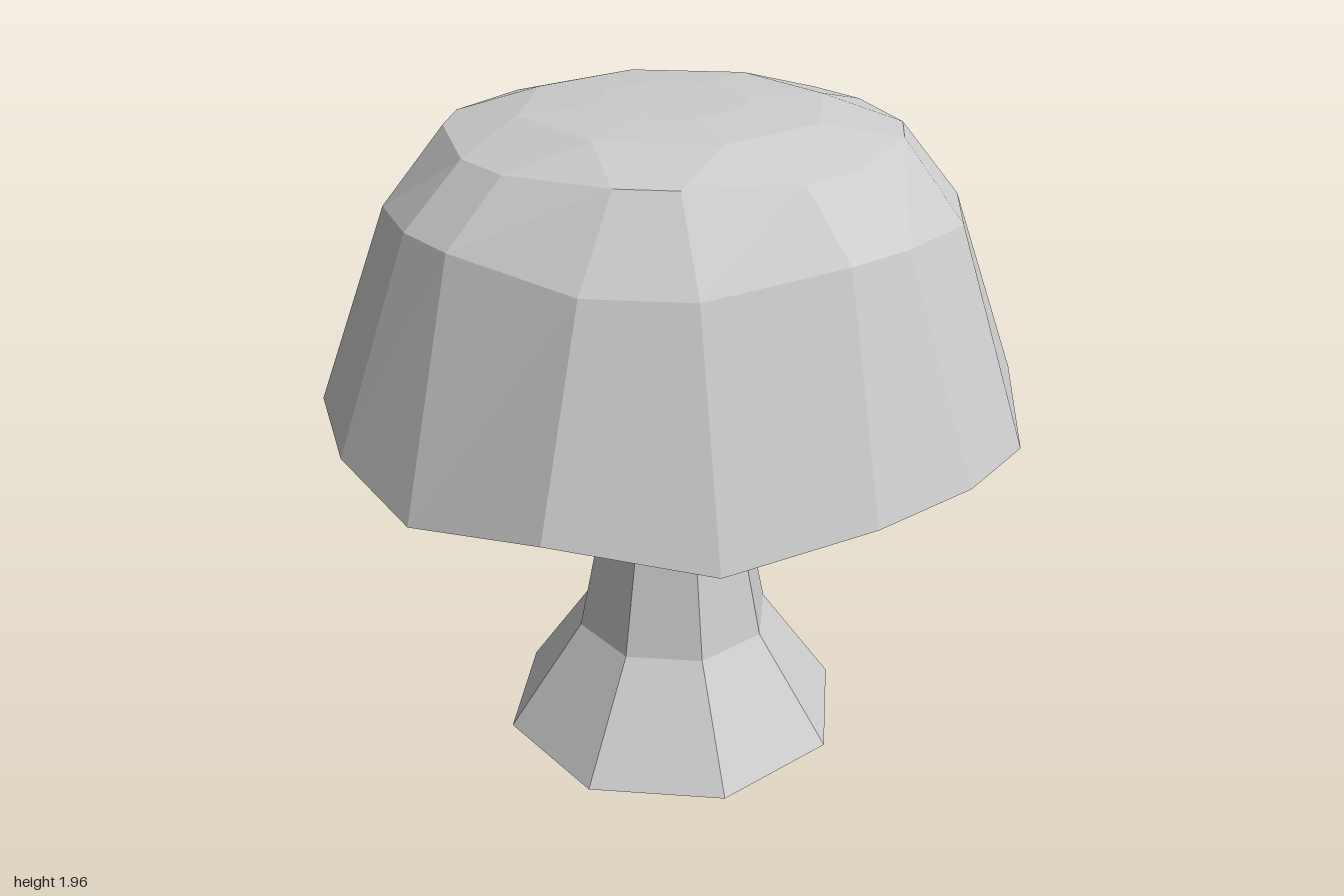
import * as THREE from 'three';

// Ring of 16 points: two angles per eighth turn, mirrored around the circle.
// a is the angle (degrees) of the point nearest an axis, b the one nearer the diagonal.
function ring(r, y, a, b, yb = y) {
  const pts = [];
  for (let q = 0; q < 4; q++) {
    const angles = [a, b, 90 - b, 90 - a];
    angles.forEach((deg, k) => {
      const t = THREE.MathUtils.degToRad(deg + q * 90);
      const h = k === 0 || k === 3 ? y : yb;
      pts.push(new THREE.Vector3(r * Math.cos(t), h, r * Math.sin(t)));
    });
  }
  return pts;
}

// Octagon with flats facing the axes, each corner doubled to pair with 16-point rings
const octagon = (r, y) => ring(r, y, 22.5, 22.5);

// Faceted skin through a list of rings, faces pointing outward
function loft(rings) {
  const pos = [];
  const tri = (a, b, c) => {
    const area = b.clone().sub(a).cross(c.clone().sub(a)).length();
    if (area > 1e-6) for (const p of [a, b, c]) pos.push(p.x, p.y, p.z);
  };
  for (let k = 0; k < rings.length - 1; k++) {
    const lo = rings[k], hi = rings[k + 1], n = lo.length;
    for (let i = 0; i < n; i++) {
      const j = (i + 1) % n;
      tri(lo[i], hi[i], lo[j]);
      tri(lo[j], hi[i], hi[j]);
    }
  }
  const geo = new THREE.BufferGeometry();
  geo.setAttribute('position', new THREE.Float32BufferAttribute(pos, 3));
  geo.computeVertexNormals(); // unshared corners give flat facets
  return geo;
}

export function createModel() {
  const group = new THREE.Group();
  group.name = 'mushroom';
  const grey = new THREE.MeshStandardMaterial({ color: 0xcccccc });
  grey.name = 'light grey';

  const add = (name, rings) => {
    const mesh = new THREE.Mesh(loft(rings), grey);
    mesh.name = name;
    group.add(mesh);
  };

  // Stem: flared foot, narrow waist, widening into the cap
  add('stem', [
    octagon(0, 0),
    octagon(0.53, 0),
    octagon(0.3, 0.335),
    octagon(0.215, 0.75),
    octagon(0.35, 1.345),
  ]);

  // Uneven rim: some corners hang lower
  const rim = ring(1.01, 1.12, 9.6, 32.7);
  for (const i of [1, 3, 6, 8, 11, 14]) rim[i].y = 1.06;

  // Underside: hollow slope from the stem, then a narrow lip to the rim
  add('capUnderside', [octagon(0.34, 1.345), octagon(0.83, 1.16), rim]);

  // Cap: steep sides, rounded shoulder and nearly flat crown
  add('cap', [
    rim,
    ring(0.8, 1.72, 7.2, 34.7, 1.675),
    ring(0.625, 1.88, 8.5, 37.5, 1.89),
    octagon(0.43, 1.942),
    octagon(0.21, 1.955),
    octagon(0, 1.955),
  ]);

  return group;
}
